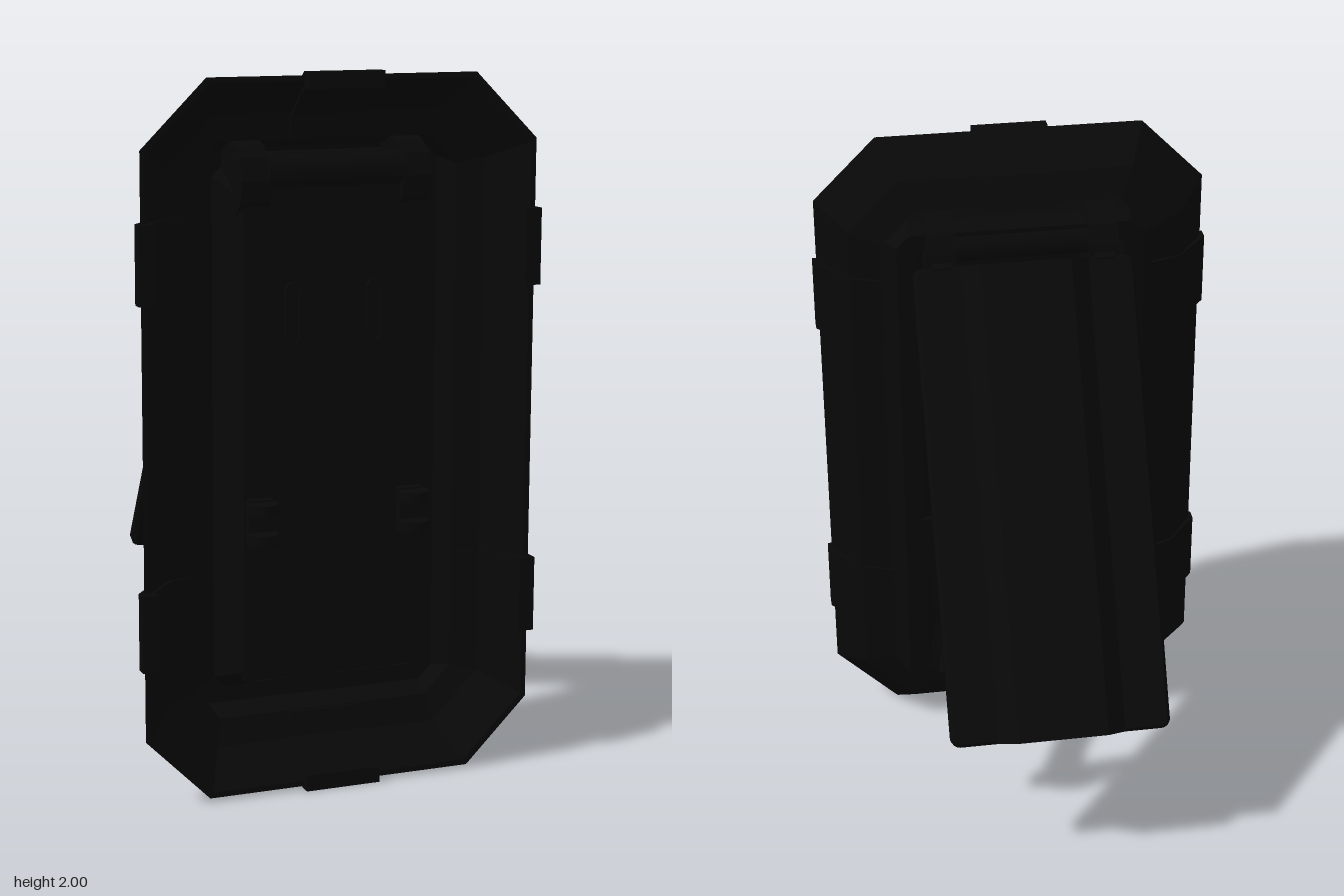
import * as THREE from 'three';

export function createModel() {
  const model = new THREE.Group();
  model.name = 'hatchDoor';
  const black = new THREE.MeshStandardMaterial({ color: 0x080808 });
  black.name = 'black';

  function add(name, geometry, parent = model) {
    const mesh = new THREE.Mesh(geometry, black);
    mesh.name = name;
    parent.add(mesh);
    return mesh;
  }
  function box(name, w, h, d, x, y, z, parent = model) {
    const mesh = add(name, new THREE.BoxGeometry(w, h, d), parent);
    mesh.position.set(x, y, z);
    return mesh;
  }
  const shapeOf = (pts) => new THREE.Shape(pts.map((p) => new THREE.Vector2(p[0], p[1])));
  const extrude = (shape, depth) => new THREE.ExtrudeGeometry(shape, { depth, bevelEnabled: false, curveSegments: 6 }).translate(0, 0, -depth / 2);
  function roundRect(w, h, r) {
    const s = new THREE.Shape();
    const x = w / 2, y = h / 2;
    s.absarc(x - r, y - r, r, 0, Math.PI / 2);
    s.absarc(-x + r, y - r, r, Math.PI / 2, Math.PI);
    s.absarc(-x + r, -y + r, r, Math.PI, Math.PI * 1.5);
    s.absarc(x - r, -y + r, r, Math.PI * 1.5, Math.PI * 2);
    return s;
  }
  // Plate drawn as [z, y] points in side elevation, with its thickness along x
  const sidePlate = (name, pts, x, width) =>
    add(name, extrude(shapeOf(pts), width).rotateY(-Math.PI / 2).translate(x, 0, 0));
  // Round rod between two [z, y] points
  function rod(name, a, b, x, r) {
    const dz = b[0] - a[0], dy = b[1] - a[1];
    const mesh = add(name, new THREE.CylinderGeometry(r, r, Math.hypot(dz, dy), 8));
    mesh.position.set(x, (a[1] + b[1]) / 2, (a[0] + b[0]) / 2);
    mesh.rotation.x = Math.atan2(dz, dy);
  }

  // Frame: a closed cross-section carried around eight-sided loops
  // [half width, half height, corner cut, z]
  const profile = [
    [0.575, 0.99, 0.185, 0.485], [0.565, 0.98, 0.18, 0.465], [0.49, 0.905, 0.15, 0.36],
    [0.40, 0.82, 0.10, 0.33], [0.385, 0.80, 0.06, 0.31], [0.36, 0.782, 0.04, 0.257],
    [0.30, 0.75, 0.03, 0.257], [0.262, 0.685, 0.03, 0.405],
    [0.267, 0.69, 0.03, 0.42], [0.305, 0.74, 0.03, 0.28], [0.365, 0.785, 0.04, 0.285],
    [0.395, 0.81, 0.08, 0.352], [0.47, 0.885, 0.14, 0.375], [0.56, 0.975, 0.18, 0.485],
  ];
  const loops = profile.map(([w, h, c, z]) => [
    [w, c - h], [w, h - c], [w - c, h], [c - w, h], [-w, h - c], [-w, c - h], [c - w, -h], [w - c, -h],
  ].map(([x, y]) => [x, y + 1, z]));
  const verts = [];
  loops.forEach((loop, j) => {
    const next = loops[(j + 1) % loops.length];
    for (let k = 0; k < 8; k++) {
      const m = (k + 1) % 8;
      verts.push(...loop[k], ...next[k], ...next[m], ...loop[k], ...next[m], ...loop[m]);
    }
  });
  const frameGeo = new THREE.BufferGeometry();
  frameGeo.setAttribute('position', new THREE.Float32BufferAttribute(verts, 3));
  frameGeo.computeVertexNormals();
  add('frame', frameGeo);

  // Clamps wrapped over the frame edges
  const clampProfile = [
    [0.011, 0.505], [0.011, 0.47], [-0.085, 0.354], [-0.13, 0.334], [-0.18, 0.32],
    [-0.175, 0.36], [-0.11, 0.383], [-0.03, 0.48], [-0.035, 0.505],
  ];
  function clamp(name, base, angle, width, along) {
    const pts = clampProfile.map(([d, z]) => [base + d, z]);
    const geo = extrude(shapeOf(pts), width).rotateX(Math.PI / 2);
    geo.translate(0, along, 0).rotateZ(angle).translate(0, 1, 0);
    add(name, geo);
  }
  for (const y of [-0.495, 0.505]) {
    clamp('leftClamp', 0.575, 0, 0.215, y);
    clamp('rightClamp', 0.575, Math.PI, 0.215, -y);
  }
  clamp('topClamp', 0.989, Math.PI / 2, 0.22, 0);
  clamp('bottomClamp', 0.989, -Math.PI / 2, 0.22, 0);

  // Inner panel with raised grips and latches
  box('innerPanel', 0.53, 1.375, 0.02, 0, 1, 0.411);
  for (const s of [-1, 1]) {
    const grip = roundRect(0.055, 0.18, 0.027);
    grip.holes.push(roundRect(0.03, 0.155, 0.0149));
    add('grip', extrude(grip, 0.04)).position.set(s * 0.12, 1.34, 0.411);
    box('latchPlate', 0.07, 0.12, 0.035, s * 0.225, 0.775, 0.43);
    for (const y of [0.73, 0.815]) {
      const knob = add('latchKnob', new THREE.CylinderGeometry(0.045, 0.045, 0.03, 20));
      knob.position.set(s * 0.225, y, 0.46);
    }
  }

  // Hinge along the top of the opening, with rounded brackets through the frame
  for (const z of [0.28, 0.41]) {
    const barrel = add('hingeBarrel', new THREE.CylinderGeometry(0.045, 0.045, 0.4, 20).rotateZ(Math.PI / 2));
    barrel.position.set(0, 1.73, z);
  }
  for (const s of [-1, 1]) {
    sidePlate('hingeBracket', [
      [0.38, 1.8], [0.33, 1.82], [0.29, 1.81], [0.25, 1.78], [0.225, 1.73], [0.22, 1.68], [0.26, 1.63],
      [0.33, 1.6], [0.39, 1.61], [0.435, 1.65], [0.45, 1.71], [0.43, 1.77],
    ], s * 0.235, 0.085);
    sidePlate('hingeArm', [[0.27, 1.72], [0.2, 1.7], [0.2, 1.63], [0.27, 1.65]], s * 0.235, 0.06);
  }

  // Tilted hatch with a raised spine on its outer face
  const hatch = new THREE.Group();
  hatch.name = 'hatch';
  hatch.position.set(0, 1.108, -0.135);
  hatch.rotation.x = Math.PI / 6;
  model.add(hatch);
  const slab = new THREE.ExtrudeGeometry(roundRect(0.62, 1.35, 0.018), {
    depth: 0.025, bevelThickness: 0.012, bevelSize: 0.01, bevelSegments: 1, curveSegments: 3,
  });
  add('hatchSlab', slab, hatch).position.z = 0.008;
  const spine = extrude(shapeOf([[0.19, 0], [-0.19, 0], [-0.13, -0.045], [0.13, -0.045]]), 1.366).rotateX(Math.PI / 2);
  add('hatchSpine', spine, hatch);
  for (const s of [-1, 1]) {
    const strip = shapeOf([[0.09, 0.43], [0.13, 0.38], [0.13, -0.45], [0.09, -0.49]].map(([x, y]) => [s * x, y]));
    add('spineStrip', extrude(strip, 0.006), hatch).position.z = -0.045;
    box('hatchLatch', 0.045, 0.16, 0.014, s * 0.225, -0.3, -0.01, hatch);
    for (const y of [-0.35, -0.27]) box('hatchLatchBar', 0.075, 0.03, 0.018, s * 0.225, y, -0.01, hatch);
    for (const y of [-0.1, 0, 0.3]) box('hatchRivet', 0.03, 0.012, 0.008, s * 0.265, y, -0.005, hatch);
  }

  // Folding supports, one at each side
  for (const s of [-1, 1]) {
    const x = s * 0.235;
    sidePlate('lowerArm', [
      [0.28, 0.81], [0.25, 0.8], [-0.08, 0.51], [-0.16, 0.48], [-0.15, 0.42], [-0.03, 0.47], [0.16, 0.61], [0.28, 0.66],
    ], x, 0.05);
    sidePlate('elbow', [
      [-0.115, 0.45], [-0.115, 0.34], [-0.155, 0.315], [-0.25, 0.48], [-0.21, 0.52], [-0.15, 0.5],
    ], x, 0.07);
    sidePlate('upperArm', [[-0.14, 0.48], [-0.2, 0.46], [-0.285, 0.79], [-0.26, 0.84], [-0.235, 0.83]], x, 0.045);
    rod('lowerRod', [0.22, 0.61], [-0.14, 0.34], x, 0.014);
    rod('upperRod', [-0.22, 0.48], [-0.31, 0.75], x, 0.014);
    sidePlate('rodAnchor', [[0.26, 0.67], [0.21, 0.64], [0.24, 0.59], [0.21, 0.585], [0.16, 0.62], [0.21, 0.67]], x, 0.035);
    sidePlate('hatchAnchor', [[-0.25, 0.83], [-0.25, 0.76], [-0.31, 0.71], [-0.34, 0.7]], x, 0.06);
    box('armMount', 0.1, 0.2, 0.02, s * 0.27, 0.73, 0.262);
  }
  return model;
}
